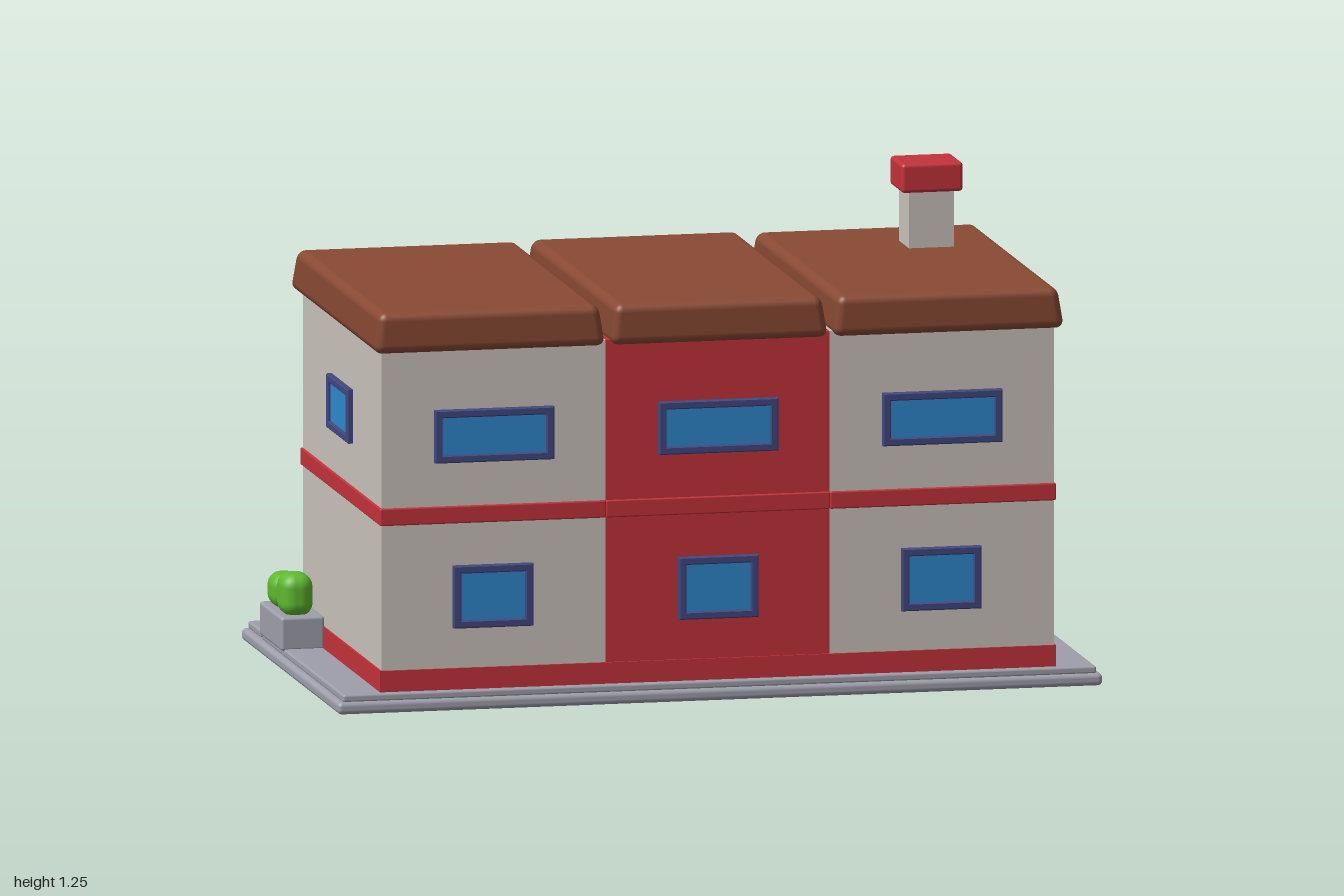
import * as THREE from 'three';
import { RoundedBoxGeometry } from 'three/addons/geometries/RoundedBoxGeometry.js';

const mat = (name, color) => {
  const m = new THREE.MeshStandardMaterial({ color });
  m.name = name;
  return m;
};

export function createModel() {
  const wall = mat('plaster', 0xcac2bb), red = mat('red', 0xc4323a), roofMat = mat('roof brown', 0x8a4a34);
  const stone = mat('stone grey', 0x9f9fac), green = mat('leaf green', 0x60b92f), navy = mat('frame navy', 0x41477f);
  const glass = mat('window blue', 0x2e88cc), doorMat = mat('door blue', 0x40549c), pale = mat('pale grey', 0xb0b0b2);

  const model = new THREE.Group();
  model.name = 'terracedHouses';

  const add = (parent, name, geometry, material) => {
    const mesh = new THREE.Mesh(geometry, material);
    mesh.name = name;
    parent.add(mesh);
    return mesh;
  };
  // Box given by its limits on each axis, rounded when r > 0
  const box = (parent, name, material, [x0, x1], [y0, y1], [z0, z1], r = 0) => {
    const s = [x1 - x0, y1 - y0, z1 - z0];
    const g = r ? new RoundedBoxGeometry(...s, 3, r) : new THREE.BoxGeometry(...s);
    g.translate((x0 + x1) / 2, (y0 + y1) / 2, (z0 + z1) / 2);
    return add(parent, name, g, material);
  };
  const polygon = (pts) => new THREE.Shape(pts.map(([x, y]) => new THREE.Vector2(x, y)));
  const rect = (w, h) => polygon([[-w / 2, -h / 2], [w / 2, -h / 2], [w / 2, h / 2], [-w / 2, h / 2]]);

  // Hollow frame facing local +z, with slightly bevelled edges
  const frame = (parent, name, w, h, border, depth) => {
    const b = 0.003;
    const shape = rect(w - 2 * b, h - 2 * b);
    shape.holes.push(rect(w - 2 * border, h - 2 * border));
    const g = new THREE.ExtrudeGeometry(shape, { depth: depth - b, bevelThickness: b, bevelSize: b, bevelSegments: 1 });
    return add(parent, name, g, navy);
  };

  // Window in local xy; glints lists [offset, width] of slanted reflections
  const windowUnit = (parent, name, x, y, z, w, h, depth, glints = []) => {
    const g = new THREE.Group();
    g.name = name;
    g.position.set(x, y, z);
    parent.add(g);
    frame(g, 'windowFrame', w, h, 0.017, depth);
    const gz = depth * 0.55;
    box(g, 'windowGlass', glass, [-w / 2 + 0.012, w / 2 - 0.012], [-h / 2 + 0.012, h / 2 - 0.012], [0, gz]);
    const t = h / 2 - 0.022;
    for (const [o, gw] of glints) {
      const s = polygon([[o - t * 0.6, -t], [o - t * 0.6 + gw, -t], [o + t * 0.6 + gw, t], [o + t * 0.6, t]]);
      add(g, 'windowGlint', new THREE.ShapeGeometry(s), pale).position.z = gz + 0.002;
    }
    return g;
  };

  // Ground: base plate, plot slab and five paving tiles behind
  box(model, 'basePlate', stone, [-1, 1], [0, 0.032], [-0.57, 0.57], 0.012);
  box(model, 'plotSlab', stone, [-0.985, 0.985], [0.03, 0.05], [-0.393, 0.56], 0.006);
  for (let i = 0; i < 5; i++) {
    const x = -0.985 + i * 0.394;
    box(model, 'pavingTile', stone, [x + 0.002, x + 0.392], [0.03, 0.05], [-0.565, -0.422], 0.006);
  }

  // Everything on the rear is built facing +z and turned round
  const rear = new THREE.Group();
  rear.name = 'rearDetails';
  rear.rotation.y = Math.PI;
  model.add(rear);

  for (const i of [-1, 0, 1]) {
    const cx = i * 0.586;
    const back = i === 0 ? 0.41 : 0.385;
    const xs = [cx - 0.293, cx + 0.293];
    box(model, 'houseWalls', i === 0 ? red : wall, xs, [0.05, 0.94], [-back, 0.535]);

    // Plinth and storey band
    const bx = [xs[0] - (i === -1 ? 0.005 : 0), xs[1] + (i === 1 ? 0.005 : 0)];
    box(model, 'plinth', red, bx, [0.05, 0.105], [-back - 0.008, 0.541]);
    box(model, 'storeyBand', red, bx, [0.48, 0.525], [-back - 0.01, 0.541], 0.004);

    // Roof: rounded slab narrowing upwards
    const rw = i === 0 ? 0.57 : 0.605, rc = i * 0.6;
    const zb = i === 0 ? -0.46 : -0.44;
    const rg = new RoundedBoxGeometry(rw, 0.104, 0.567 - zb, 4, 0.022);
    const p = rg.attributes.position;
    for (let k = 0; k < p.count; k++) {
      const inset = 0.015 * (p.getY(k) / 0.104 + 0.5);
      p.setX(k, p.getX(k) * (1 - 2 * inset / rw));
      p.setZ(k, p.getZ(k) * (1 - 2 * inset / (0.567 - zb)));
    }
    const roof = add(model, 'roof', rg, roofMat);
    roof.position.set(rc, 0.981, (0.567 + zb) / 2);

    // Front windows
    windowUnit(model, 'frontUpperWindow', cx, 0.707, 0.533, 0.312, 0.137, 0.018);
    windowUnit(model, 'frontLowerWindow', cx - Math.abs(i) * 0.003, 0.29, 0.533, 0.208, 0.162, 0.018);

    // Rear windows
    windowUnit(rear, 'rearUpperWindow', cx, 0.707, back, 0.4, 0.14, 0.026,
      [[-0.125, 0.022], [-0.035, 0.03], [0.015, 0.014], [0.1, 0.026], [0.14, 0.01]]);
    windowUnit(rear, 'rearLowerWindow', cx - 0.15, 0.285, back, 0.165, 0.17, 0.026, [[-0.018, 0.022], [0.022, 0.012]]);

    // Rear door with frame, handle and lamp above
    const door = new THREE.Group();
    door.name = 'door';
    door.position.set(cx + 0.11, 0.215, back);
    rear.add(door);
    frame(door, 'doorFrame', 0.21, 0.33, 0.02, 0.034);
    box(door, 'doorPanel', doorMat, [-0.092, 0.092], [-0.163, 0.148], [0, 0.022]);
    box(door, 'handlePlate', pale, [0.055, 0.073], [-0.03, 0.03], [0.02, 0.026]);
    const knob = add(door, 'doorKnob', new THREE.SphereGeometry(0.009, 12, 8), pale);
    knob.position.set(0.064, 0, 0.032);
    box(door, 'lampBack', stone, [-0.06, 0.06], [0.195, 0.238], [0, 0.018], 0.005);
    box(door, 'lampArm', stone, [-0.045, 0.045], [0.203, 0.228], [0.01, 0.03]);
    const lamp = add(door, 'lampTube', new THREE.CapsuleGeometry(0.018, 0.095, 4, 12), pale);
    lamp.rotation.z = Math.PI / 2;
    lamp.position.set(0, 0.215, 0.026);
  }

  // Side windows, planters and bushes on both ends
  for (const s of [-1, 1]) {
    const side = windowUnit(model, 'sideWindow', s * 0.877, 0.706, 0.075, 0.25, 0.14, 0.017);
    side.rotation.y = s * Math.PI / 2;
    const span = (a, b) => (s > 0 ? [a, b] : [-b, -a]);
    box(model, 'planter', stone, span(0.879, 0.993), [0.045, 0.132], [-0.387, -0.13], 0.008);
    box(model, 'largeBush', green, span(0.899, 0.984), [0.125, 0.237], [-0.253, -0.15], 0.036);
    box(model, 'smallBush', green, span(0.899, 0.982), [0.125, 0.217], [-0.374, -0.272], 0.036);
  }

  // Chimney
  box(model, 'chimneyStack', wall, [0.641, 0.759], [1.02, 1.18], [-0.215, -0.096]);
  box(model, 'chimneyCap', red, [0.62, 0.781], [1.177, 1.253], [-0.226, -0.086], 0.01);

  return model;
}
